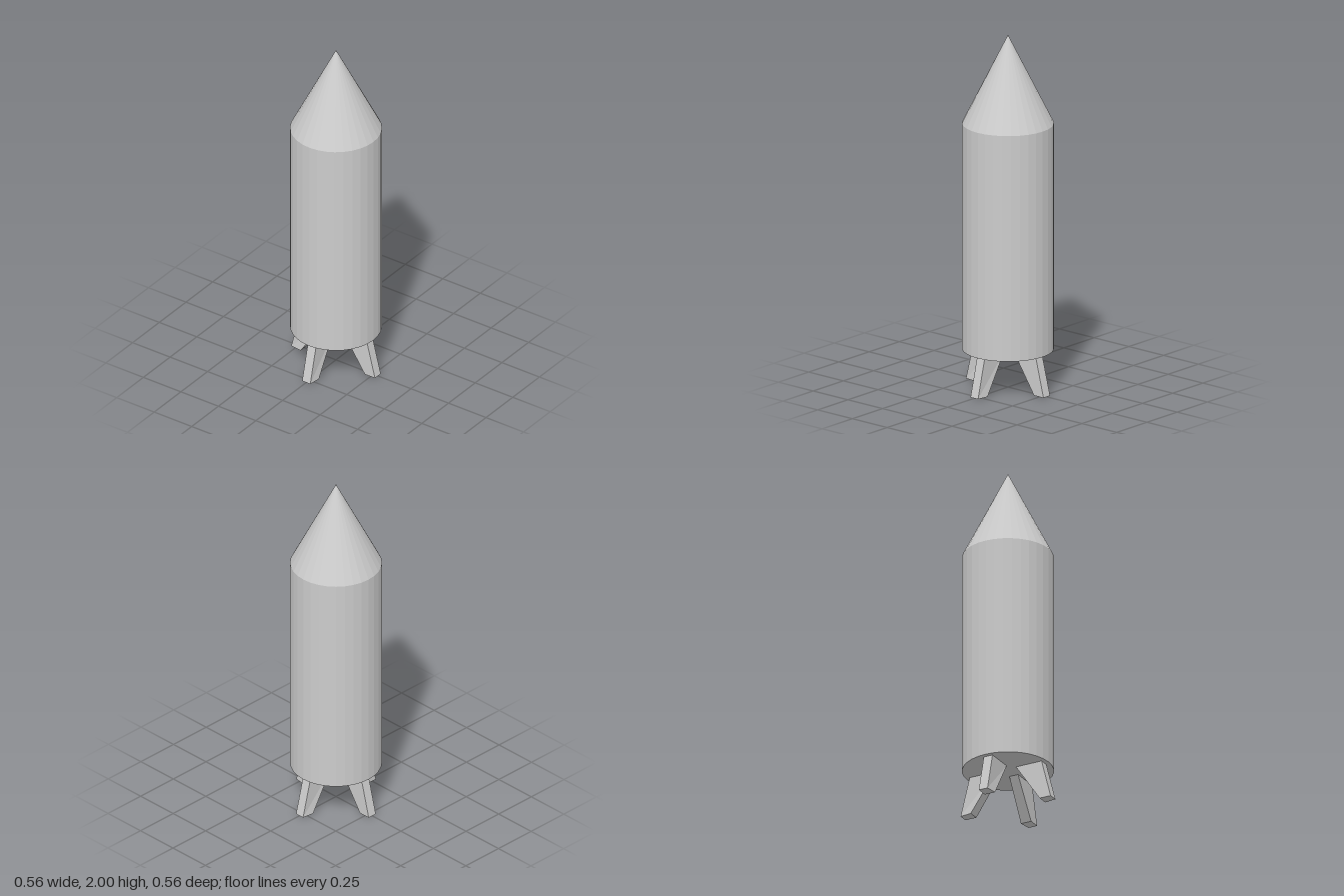
import * as THREE from 'three';

const BODY_RADIUS = 0.25, BODY_BOTTOM = 0.22, BODY_TOP = 1.5, TIP = 2, SIDES = 32;

// Leg pointing to +z: a box whose ends are splayed outward, with one foot corner flared
function legGeometry() {
  const geometry = new THREE.BoxGeometry(1, 1, 1);
  const p = geometry.attributes.position;
  for (let i = 0; i < p.count; i++) {
    const top = p.getY(i) > 0, outer = p.getZ(i) > 0, side = Math.sign(p.getX(i));
    const z = top ? (outer ? 0.223 : 0.064) : (outer ? 0.279 : 0.211);
    const flared = !top && !outer && side > 0;
    p.setXYZ(i, flared ? 0.036 : side * 0.027, top ? BODY_BOTTOM : 0, z);
  }
  geometry.computeVertexNormals();
  return geometry;
}

export function createModel() {
  const model = new THREE.Group();
  model.name = 'rocket';
  const material = new THREE.MeshStandardMaterial({ color: 0xcccccc, flatShading: true });

  const add = (name, geometry, y = 0) => {
    const mesh = new THREE.Mesh(geometry, material);
    mesh.name = name;
    mesh.position.y = y;
    model.add(mesh);
    return mesh;
  };

  // Cylindrical hull
  add('body', new THREE.CylinderGeometry(BODY_RADIUS, BODY_RADIUS, BODY_TOP - BODY_BOTTOM, SIDES),
    (BODY_TOP + BODY_BOTTOM) / 2);

  // Pointed nose
  add('noseCone', new THREE.ConeGeometry(BODY_RADIUS, TIP - BODY_TOP, SIDES), (TIP + BODY_TOP) / 2);

  // Four splayed landing legs, a quarter turn apart
  const leg = legGeometry();
  ['frontLeg', 'leftLeg', 'backLeg', 'rightLeg'].forEach((name, i) => {
    add(name, leg).rotation.y = i * Math.PI / 2;
  });

  return model;
}
